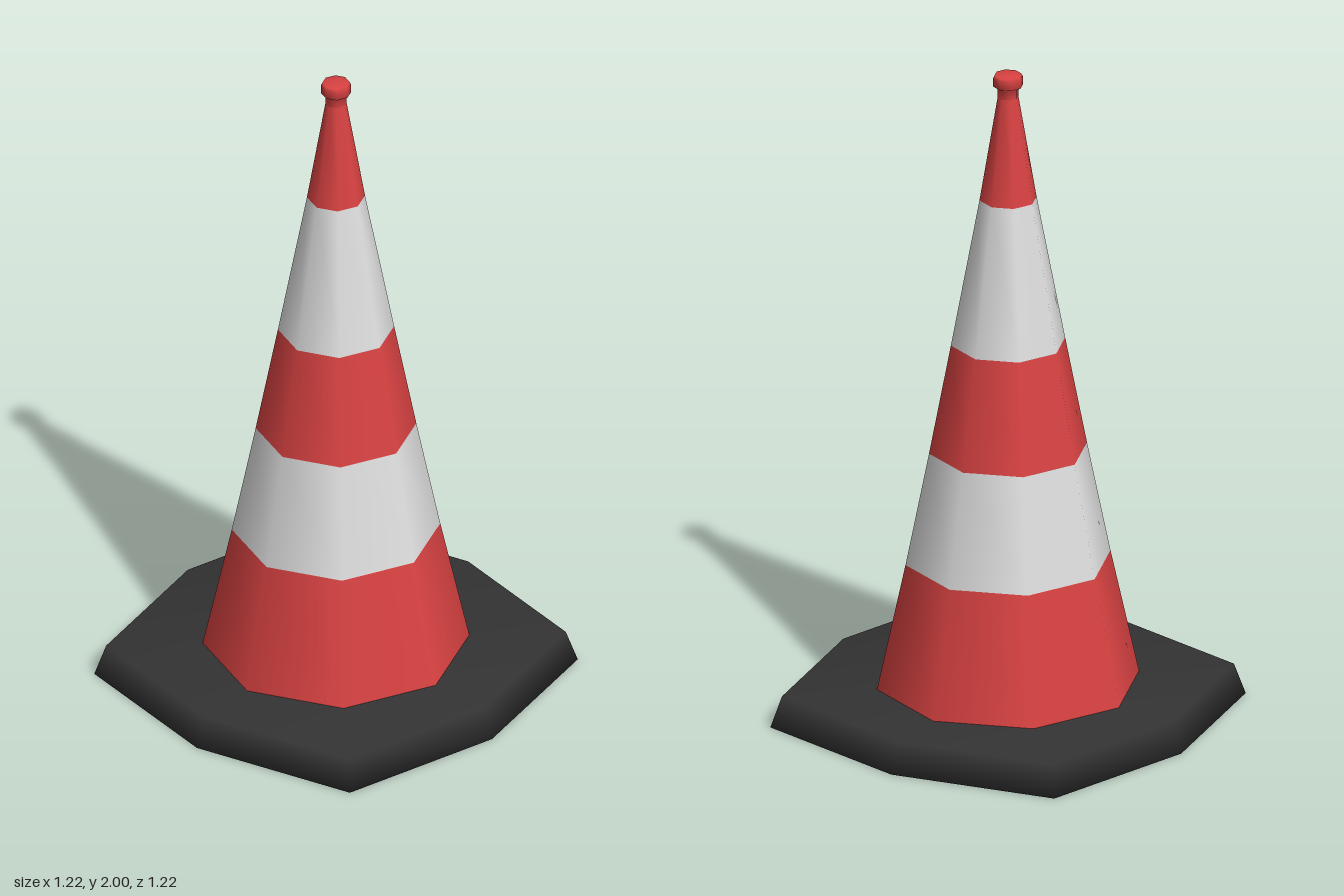
import * as THREE from 'three';
import { mergeVertices } from 'three/addons/utils/BufferGeometryUtils.js';

const SIDES = 8;

function material(name, color) {
  const m = new THREE.MeshStandardMaterial({ color });
  m.name = name;
  return m;
}

// Eight-sided lathe from [radius, height] pairs, listed bottom to top
function lathe(profile) {
  return new THREE.LatheGeometry(profile.map(([r, y]) => new THREE.Vector2(r, y)), SIDES);
}

// Weld the seam and share normals across all edges
function smooth(geometry) {
  geometry.deleteAttribute('normal');
  geometry.deleteAttribute('uv');
  const welded = mergeVertices(geometry);
  welded.computeVertexNormals();
  return welded;
}

export function createModel() {
  const red = material('red', 0xd94242);
  const white = material('white', 0xdedede);
  const black = material('black rubber', 0x333333);

  const group = new THREE.Group();
  group.name = 'trafficCone';
  const add = (name, geometry, mat) => {
    const mesh = new THREE.Mesh(geometry, mat);
    mesh.name = name;
    group.add(mesh);
  };

  // Base: octagon whose diagonal corners are pulled out towards a square
  const base = lathe([[0, 0], [0.52, 0], [0.61, 0], [0.58, 0.095], [0, 0.095]]);
  const p = base.attributes.position;
  const stretch = (0.5 * Math.SQRT2) / 0.61;
  for (let i = 0; i < p.count; i++) {
    const x = p.getX(i), z = p.getZ(i);
    if (Math.abs(x) > 0.01 && Math.abs(z) > 0.01) {
      p.setX(i, x * stretch);
      p.setZ(i, z * stretch);
    }
  }
  add('base', smooth(base), black);

  // Cone body: alternating bands between these rings
  const rings = [[0.39, 0.095], [0.305, 0.48], [0.235, 0.825], [0.17, 1.16], [0.085, 1.61], [0.031, 1.93]];
  for (let i = 0; i < rings.length - 1; i++) {
    add('band' + (i + 1), lathe([rings[i], rings[i + 1]]), i % 2 ? white : red);
  }

  // Neck and rounded cap
  const tip = lathe([[0.031, 1.93], [0.031, 1.958], [0.044, 1.965], [0.044, 1.992], [0.04, 2], [0, 2]]);
  add('tip', smooth(tip), red);

  return group;
}
